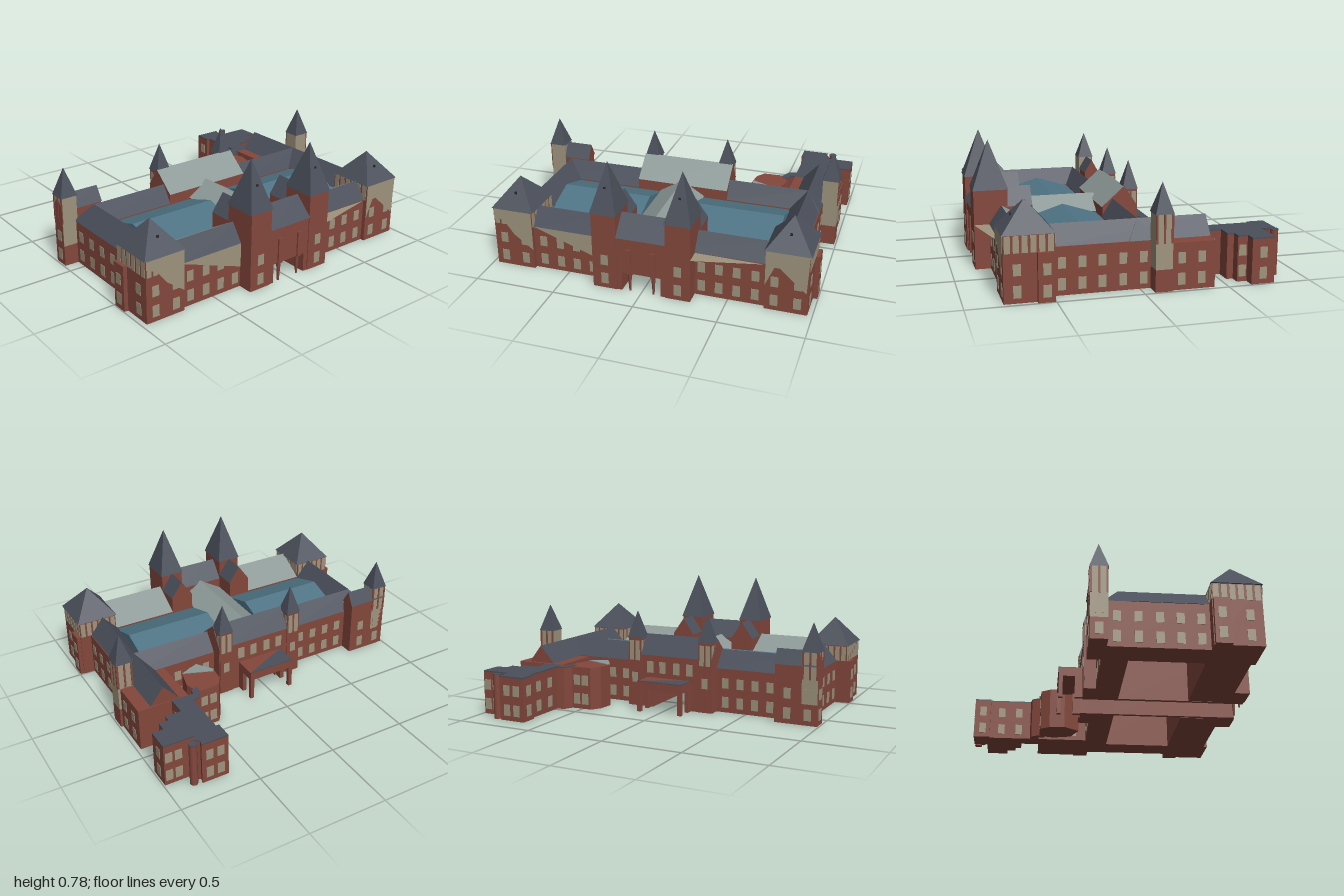
import * as THREE from 'three';

export function createModel() {
  const root = new THREE.Group();
  root.name = 'courtyardHall';
  const paint = (name, color) => {
    const m = new THREE.MeshStandardMaterial({ color, side: THREE.DoubleSide });
    m.name = name;
    return m;
  };
  const brick = paint('brick', 0x84483c);
  const stone = paint('stone', 0x9f947d);
  const slate = paint('slate', 0x4a4f5a);
  const pale = paint('paleMetal', 0x8c9996);
  const glass = paint('blueGlass', 0x4f7485);
  const dark = paint('darkOpening', 0x25272c);

  const add = (name, geo, mat) => {
    const m = new THREE.Mesh(geo, mat);
    m.name = name;
    root.add(m);
    return m;
  };
  const box = (name, xa, xb, y0, y1, za, zb, mat = brick) => {
    const g = new THREE.BoxGeometry(Math.abs(xb - xa), y1 - y0, Math.abs(zb - za));
    g.translate((xa + xb) / 2, (y0 + y1) / 2, (za + zb) / 2);
    return add(name, g, mat);
  };
  // Flat polygons given as lists of corners, fanned into triangles
  const faces = (name, polys, mat) => {
    const p = [];
    for (const f of polys)
      for (let i = 1; i < f.length - 1; i++) p.push(...f[0], ...f[i], ...f[i + 1]);
    const g = new THREE.BufferGeometry();
    g.setAttribute('position', new THREE.Float32BufferAttribute(p, 3));
    g.computeVertexNormals();
    return add(name, g, mat);
  };
  // Pitched roof; ridge runs from (px,pz) to (qx,qz); s0/s1 are the long slopes
  const roof = (name, axis, x0, x1, z0, z1, y, [px, pz, qx, qz], top, s0 = slate, s1 = slate, end = slate) => {
    const A = [x0, y, z0], B = [x1, y, z0], C = [x1, y, z1], D = [x0, y, z1];
    const P = [px, top, pz], Q = [qx, top, qz];
    if (axis === 'x') {
      faces(name + 'BackSlope', [[B, A, P, Q]], s0);
      faces(name + 'FrontSlope', [[D, C, Q, P]], s1);
      faces(name + 'Ends', [[A, D, P], [C, B, Q]], end);
    } else {
      faces(name + 'RightSlope', [[A, D, Q, P]], s0);
      faces(name + 'LeftSlope', [[C, B, P, Q]], s1);
      faces(name + 'Ends', [[B, A, P], [D, C, Q]], end);
    }
  };
  const pyramid = (name, cx, cz, w, d, y, top) =>
    roof(name, 'x', cx - w / 2, cx + w / 2, cz - d / 2, cz + d / 2, y, [cx, cz, cx, cz], top);
  // Thin panes on a wall: axis 'z' means the wall faces along z at position at
  const panes = (name, axis, at, list, w, y0, y1, mat = stone) => {
    for (const c of list) {
      if (axis === 'z') box(name, c - w / 2, c + w / 2, y0, y1, at - 0.003, at + 0.003, mat);
      else box(name, at - 0.003, at + 0.003, y0, y1, c - w / 2, c + w / 2, mat);
    }
  };
  const twoRows = (axis, at, list) => {
    panes('lowerWindow', axis, at, list, 0.045, 0.03, 0.1);
    panes('upperWindow', axis, at, list, 0.045, 0.155, 0.22);
  };
  const spread = (c, w, n) => Array.from({ length: n }, (_, i) => c + w * ((i + 0.5) / n - 0.5));
  const allSides = (name, cx, cz, w, d, n, y0, y1) => {
    for (const s of [-1, 1]) {
      panes(name, 'z', cz + s * d / 2, spread(cx, w, n), (w / n) * 0.7, y0, y1);
      panes(name, 'x', cx + s * w / 2, spread(cz, d, n), (d / n) * 0.7, y0, y1);
    }
  };
  // Plan outline extruded upwards
  const plan = (name, pts, y0, y1, mat) => {
    const s = new THREE.Shape(pts.map(([x, z]) => new THREE.Vector2(x, -z)));
    const g = new THREE.ExtrudeGeometry(s, { depth: y1 - y0, bevelEnabled: false });
    g.rotateX(-Math.PI / 2).translate(0, y0, 0);
    return add(name, g, mat);
  };

  for (const s of [-1, 1]) {
    // Front wing
    box('frontWing', s * 0.3, s * 0.72, 0, 0.28, 0.5, 0.76);
    twoRows('z', 0.76, [0.34, 0.445, 0.55, 0.66].map((x) => s * x));
    const fx = [s * 0.2, s * 0.72].sort((a, b) => a - b);
    roof('frontWingRoof', 'x', fx[0], fx[1], 0.5, 0.765, 0.28, [fx[0], 0.69, fx[1], 0.69], 0.39, pale, slate, brick);
    // Corner pavilion
    const cx = s * 0.845;
    box('cornerPavilion', s * 0.72, s * 0.97, 0, 0.38, 0.5, 0.785);
    box('pavilionBay', s * 0.96, s * 0.995, 0, 0.28, 0.505, 0.6);
    pyramid('pavilionRoof', cx, 0.645, 0.27, 0.295, 0.38, 0.55);
    twoRows('z', 0.785, [s * 0.91, s * 0.775]);
    twoRows('x', s * 0.97, [0.71]);
    twoRows('x', s * 0.995, [0.55]);
    allSides('pavilionPanel', cx, 0.6425, 0.25, 0.285, 6, 0.28, 0.375);
    panes('pavilionDormer', 'z', 0.72, [cx], 0.015, 0.45, 0.475, dark);
    // Front tower with link building behind it
    const tx = s * 0.225;
    box('frontTower', s * 0.15, s * 0.3, 0, 0.49, 0.65, 0.855);
    pyramid('frontSpire', tx, 0.7525, 0.162, 0.215, 0.485, 0.78);
    twoRows('z', 0.855, [tx]);
    allSides('towerLowPanel', tx, 0.7525, 0.14, 0.195, 3, 0.295, 0.38);
    allSides('towerHighPanel', tx, 0.7525, 0.14, 0.195, 3, 0.4, 0.47);
    box('spireDormer', tx - 0.007, tx + 0.007, 0.615, 0.64, 0.79, 0.808, dark);
    box('towerLink', s * 0.15, s * 0.3, 0, 0.38, 0.5, 0.65);
    roof('towerLinkRoof', 'z', tx - 0.077, tx + 0.077, 0.5, 0.66, 0.38, [tx, 0.5, tx, 0.66], 0.49, slate, slate, brick);
    // Side wing
    box('sideWing', s * 0.72, s * 0.9, 0, 0.28, -0.09, 0.5);
    twoRows('x', s * 0.9, [0.45, 0.335, 0.22, 0.1, -0.02]);
    // Glazed courtyard
    const gx = [s * 0.145, s * 0.72].sort((a, b) => a - b);
    roof('courtyardGlass', 'x', gx[0], gx[1], 0.06, 0.5, 0.27, [gx[0], 0.28, gx[1], 0.28], 0.34, glass, glass, glass);
    // Back wing
    box('backWing', s * 0.3, s * 0.72, 0, 0.28, -0.09, 0.06);
    twoRows('z', -0.09, [0.36, 0.46, 0.56, 0.66].map((x) => s * x));
    // Back centre, spine and entrance side walls around the open passage
    box('backCentreWall', s * 0.12, s * 0.3, 0, 0.34, -0.16, 0.06);
    box('spineWall', s * 0.12, s * 0.145, 0, 0.28, 0.06, 0.66);
    box('entrancePier', s * 0.12, s * 0.15, 0, 0.35, 0.65, 0.85);
    // Back turret
    box('backTurret', s * 0.205, s * 0.295, 0, 0.45, -0.165, -0.08);
    pyramid('backTurretSpire', s * 0.25, -0.12, 0.1, 0.098, 0.445, 0.62);
    allSides('backTurretPanel', s * 0.25, -0.1225, 0.085, 0.085, 2, 0.3, 0.43);
    panes('backTurretWindow', 'z', -0.165, [s * 0.25], 0.04, 0.155, 0.22);
    // Rear corner turret
    const rz = s > 0 ? -0.112 : -0.125;
    box('cornerTurretBase', s * 0.89, s * 0.99, 0, 0.13, rz - 0.05, rz + 0.05);
    box('cornerTurret', s * 0.89, s * 0.99, 0.13, 0.45, rz - 0.05, rz + 0.05, stone);
    for (const [a, z] of [['x', rz - 0.045], ['x', rz], ['x', rz + 0.045]])
      panes('turretBrickStrip', a, s * 0.99, [z], 0.012, 0.28, 0.45, brick);
    panes('turretBackStrip', 'z', rz - 0.05, [s * 0.895, s * 0.94, s * 0.985], 0.012, 0.28, 0.45, brick);
    pyramid('cornerTurretSpire', s * 0.94, rz, 0.11, 0.11, 0.445, 0.62);
    // Tapered entrance posts
    const post = new THREE.CylinderGeometry(0.015, 0.006, 0.14, 8);
    add('entrancePost', post, brick).position.set(s * 0.073, 0.07, 0.84);
    // Rear porch supports
    box('porchPier', s * 0.13, s * 0.155, 0, 0.14, -0.31, -0.285);
    box('porchSide', s * 0.13, s * 0.155, 0, 0.14, -0.21, -0.16);
  }

  // Bridges over the passage
  box('entranceBlock', -0.12, 0.12, 0.12, 0.35, 0.65, 0.85);
  roof('entranceRoof', 'x', -0.15, 0.15, 0.65, 0.86, 0.35, [-0.15, 0.745, 0.15, 0.745], 0.465);
  for (const s of [-1, 1]) box('entrancePilaster', s * 0.06, s * 0.09, 0.12, 0.28, 0.85, 0.86);
  box('spine', -0.12, 0.12, 0.12, 0.28, 0.06, 0.65);
  roof('spineRoof', 'z', -0.148, 0.148, 0.04, 0.67, 0.28, [0, 0.04, 0, 0.67], 0.37, pale, pale, pale);
  box('backCentre', -0.12, 0.12, 0.12, 0.34, -0.16, 0.06);
  roof('backCentreRoof', 'x', -0.3, 0.3, -0.165, 0.065, 0.34, [-0.3, -0.08, 0.3, -0.08], 0.467, slate, pale, brick);
  panes('backCentreWindow', 'z', -0.16, [-0.14, -0.05, 0.05, 0.14], 0.045, 0.225, 0.3);

  // Long roofs of the back and side wings
  roof('backRoofRight', 'x', -0.9, -0.3, -0.09, 0.065, 0.28, [-0.81, -0.005, -0.3, -0.005], 0.39);
  roof('backRoofLeft', 'x', 0.3, 0.9, -0.09, 0.065, 0.28, [0.3, -0.005, 0.81, -0.005], 0.39);
  roof('rightSideRoof', 'z', -0.905, -0.715, -0.09, 0.5, 0.28, [-0.81, -0.005, -0.81, 0.5], 0.39);
  roof('leftSideRoof', 'z', 0.71, 0.895, -0.42, 0.5, 0.28, [0.81, -0.42, 0.81, 0.5], 0.39, slate, slate, brick);

  // Gabled block at the right rear corner
  box('rearGableBlock', -0.99, -0.72, 0, 0.36, -0.175, -0.08);
  roof('rearGableRoof', 'x', -0.99, -0.715, -0.18, -0.075, 0.36, [-0.99, -0.13, -0.715, -0.13], 0.45, slate, slate, brick);
  twoRows('z', -0.175, [-0.93, -0.8]);
  twoRows('x', -0.99, [-0.125]);

  // Rear extension on the left
  box('extensionWing', 0.65, 0.975, 0, 0.275, -0.42, -0.09);
  twoRows('x', 0.975, [-0.22, -0.34]);
  twoRows('x', 0.65, [-0.18, -0.32]);
  const annex = [[0.65, -0.42], [0.76, -0.42], [0.76, -0.54], [0.86, -0.54], [0.86, -0.58], [0.92, -0.58],
    [0.92, -0.64], [0.99, -0.64], [0.99, -0.78], [0.79, -0.78], [0.82, -0.81], [0.79, -0.835], [0.8, -0.868],
    [0.63, -0.868], [0.63, -0.76], [0.65, -0.76], [0.65, -0.48], [0.6, -0.47], [0.57, -0.41], [0.57, -0.37],
    [0.61, -0.38], [0.62, -0.42]];
  plan('annex', annex, 0, 0.268, brick);
  plan('annexRoof', annex, 0.268, 0.276, slate);
  const stair = new THREE.CylinderGeometry(0.024, 0.024, 0.276, 10);
  add('stairTurret', stair, brick).position.set(0.84, 0.138, -0.843);
  const stairCap = new THREE.CylinderGeometry(0.025, 0.025, 0.006, 10);
  add('stairTurretRoof', stairCap, slate).position.set(0.84, 0.277, -0.843);
  twoRows('x', 0.99, [-0.71]);
  twoRows('x', 0.92, [-0.61]);
  twoRows('x', 0.76, [-0.48]);
  twoRows('x', 0.63, [-0.81]);
  twoRows('x', 0.65, [-0.56, -0.68]);
  twoRows('z', -0.868, [0.68, 0.75]);
  twoRows('z', -0.78, [0.9, 0.96]);

  // Many-sided garden pavilion
  const ring = [[0.44, -0.41], [0.58, -0.415], [0.61, -0.32], [0.58, -0.2], [0.46, -0.15], [0.39, -0.25], [0.4, -0.35]];
  plan('gardenPavilion', ring, 0, 0.272, brick);
  plan('gardenPavilionRoofPatch', [[0.39, -0.25], [0.4, -0.27], [0.58, -0.2], [0.46, -0.15]], 0.272, 0.277, pale);
  twoRows('z', -0.412, [0.48, 0.54]);

  // Rear porch
  box('porchSlab', -0.155, 0.155, 0.14, 0.195, -0.31, -0.16);
  plan('porchRoof', [[-0.155, -0.312], [0.155, -0.312], [-0.155, -0.16]], 0.195, 0.2, slate);

  // Stone facing on the front
  const facing = (name, pts, z) => faces(name, [pts.map(([x, y]) => [x, y, z])], stone);
  facing('wingFacing', [[-0.72, 0.28], [-0.3, 0.13], [-0.3, 0.28]], 0.765);
  facing('rightPavilionFacing', [[-0.72, 0.38], [-0.97, 0.38], [-0.97, 0.33], [-0.9, 0.3], [-0.84, 0.22], [-0.72, 0.13]], 0.79);
  facing('leftPavilionFacing', [[0.78, 0.3], [0.96, 0.14], [0.97, 0.38], [0.72, 0.38], [0.72, 0.16]], 0.79);
  faces('frontLedge', [[[0.3, 0.276, 0.76], [0.3, 0.276, 0.855], [0.71, 0.276, 0.765]]], stone);

  return root;
}
